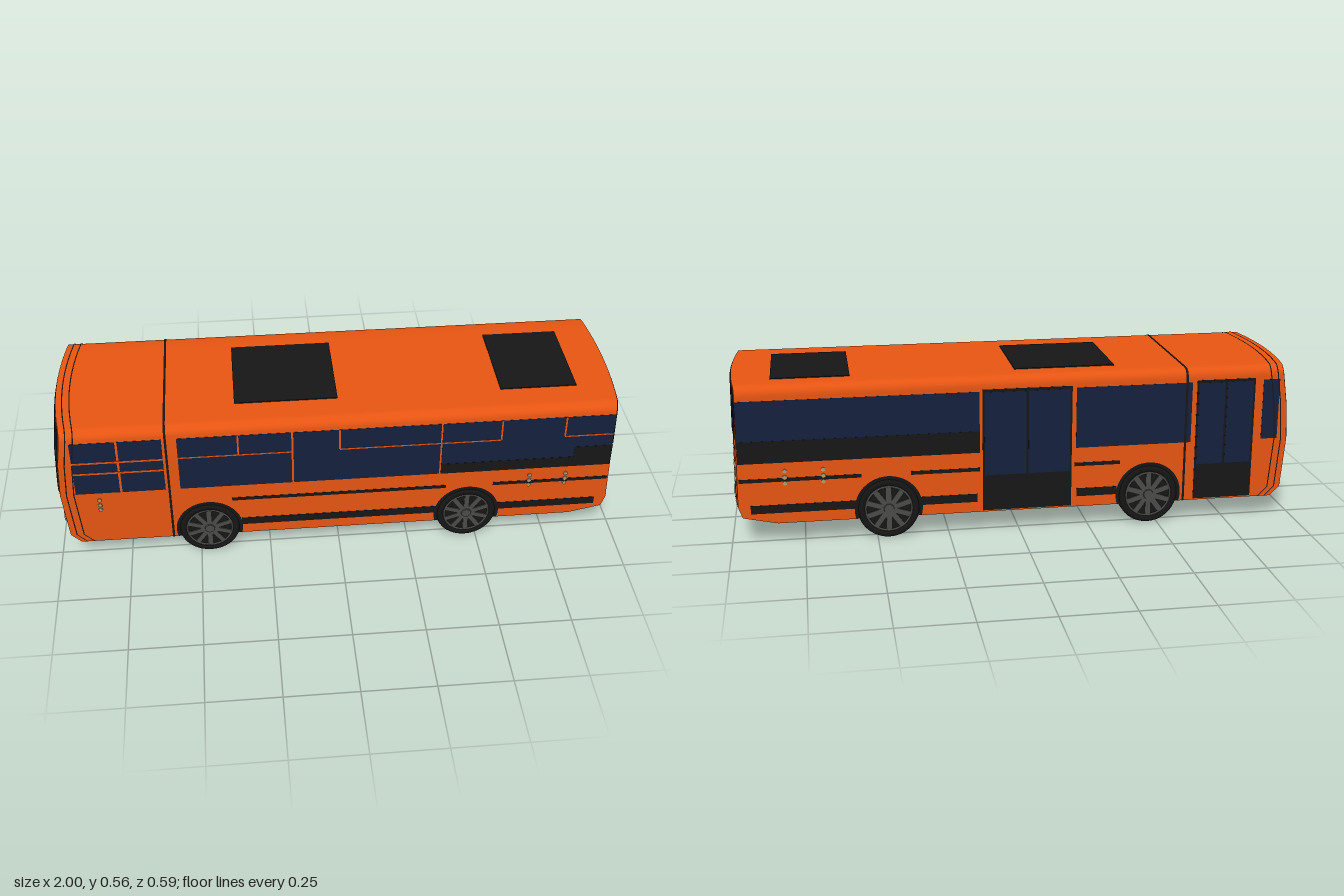
import * as THREE from 'three';
import { ParametricGeometry } from 'three/addons/geometries/ParametricGeometry.js';

const W = 0.283, BOTTOM = 0.075, TOP = 0.56, R = 0.035;
const mat = (color) => new THREE.MeshStandardMaterial({ color, side: THREE.DoubleSide });
const orange = mat(0xe65512), blue = mat(0x14213d), black = mat(0x161616);
const rim = mat(0x4a4a48), lamp = mat(0xb89868), plate = mat(0xa0a0a0);

// Piecewise linear reading of [key, value] pairs
function table(rows, t) {
  for (let i = 1; i < rows.length; i++) {
    const [a, va] = rows[i - 1], [b, vb] = rows[i];
    if (t <= b || i === rows.length - 1) return va + (vb - va) * (t - a) / (b - a);
  }
}
function along(list, u) {
  const f = Math.min(Math.max(u, 0), 1) * (list.length - 1), i = Math.min(Math.floor(f), list.length - 2);
  return list[i] + (list[i + 1] - list[i]) * (f - i);
}

// Bowed end faces: x as a function of height and width
const noseProfile = [[0.075, -0.95], [0.11, -0.985], [0.29, -1], [0.42, -0.992], [0.56, -0.972]];
const tailProfile = [[0.075, 0.86], [0.1, 0.978], [0.14, 0.992], [0.3, 0.988], [0.56, 0.982]];
const nose = (y, z) => table(noseProfile, y) + 0.028 * (z / W) ** 2;
const tail = (y, z) => table(tailProfile, y) - 0.02 * (z / W) ** 2;
const halfWidth = (y) => y < TOP - R ? W : W - R + Math.sqrt(Math.max(0, R * R - (y - TOP + R) ** 2));

// Rows up one side, shared by the skin and the end faces
const rows = [0.075, 0.1, 0.11, 0.14, 0.29, 0.42, TOP - R];
for (let i = 1; i <= 6; i++) rows.push(TOP - R + R * Math.sin(i * Math.PI / 12));
const pathY = [...rows], pathZ = rows.map((y) => -halfWidth(y));
for (let i = 1; i < 12; i++) { pathY.push(TOP); pathZ.push((W - R) * (i / 6 - 1)); }
for (const y of [...rows].reverse()) { pathY.push(y); pathZ.push(halfWidth(y)); }

export function createModel() {
  const bus = new THREE.Group();
  const add = (name, geometry, material, parent = bus) => {
    const mesh = new THREE.Mesh(geometry, material);
    mesh.name = name;
    parent.add(mesh);
    return mesh;
  };

  // Ribbon over both sides and the roof, between two x functions
  const ribbon = (name, x0, x1, lift, material) => add(name, new ParametricGeometry((u, v, p) => {
    const y = along(pathY, u), z = along(pathZ, u);
    p.set(THREE.MathUtils.lerp(x0(y, z), x1(y, z), v), y + (y > TOP - R ? lift : 0), z * (1 + lift / W));
  }, pathY.length - 1, 1), material);

  ribbon('bodySkin', nose, tail, 0, orange);
  ribbon('roofSeam', () => -0.599, () => -0.591, 0.0015, black);
  for (const d of [0.02, 0.045])
    ribbon('noseSeam', (y, z) => nose(y, z) + d, (y, z) => nose(y, z) + d + 0.004, 0.0015, black);

  // Closed front and rear faces
  for (const s of [-1, 1]) add(s < 0 ? 'frontFace' : 'rearFace', new ParametricGeometry((u, v, p) => {
    const y = along(rows, u), z = s * halfWidth(y) * (2 * v - 1);
    p.set(s < 0 ? nose(y, z) : tail(y, z), y, z);
  }, rows.length - 1, 14), orange);

  // Floor
  add('floor', new ParametricGeometry((u, v, p) => {
    const z = W * (2 * v - 1);
    p.set(THREE.MathUtils.lerp(tail(BOTTOM, z), nose(BOTTOM, z), u), BOTTOM, z);
  }, 1, 14), black);

  // Curved panel on an end face; half width goes from h0 at y0 to h1 at y1
  const endPanel = (name, s, y0, y1, zc, h0, h1, lift, material) =>
    add(name, new ParametricGeometry((u, v, p) => {
      const y = y0 + (y1 - y0) * u;
      const h = Math.min(h0 + (h1 - h0) * u, halfWidth(y) - 0.003);
      const z = zc + s * h * (2 * v - 1);
      p.set((s < 0 ? nose(y, z) : tail(y, z)) + s * lift, y, z);
    }, 16, 12), material);
  const endFrame = (name, s, y0, y1, h, t) => {
    for (const y of [y0, y1]) endPanel(name, s, y - t, y + t, 0, h, h, 0.002, black);
    for (const z of [-h, h]) endPanel(name, s, y0, y1, z, t, t, 0.002, black);
  };
  const disc = (name, x, y, z, r, axis) => {
    const m = add(name, new THREE.CylinderGeometry(r, r, 0.008, 6), lamp);
    if (axis === 'x') m.rotation.z = Math.PI / 2; else m.rotation.x = Math.PI / 2;
    m.position.set(x, y, z);
  };

  // Rear face
  endPanel('rearWindowFrame', 1, 0.38, 0.557, 0, W, W, 0.001, black);
  endPanel('rearWindow', 1, 0.385, 0.553, 0, 0.278, 0.278, 0.003, blue);
  endFrame('engineHatch', 1, 0.16, 0.332, 0.191, 0.0016);
  endFrame('plateRecess', 1, 0.226, 0.276, 0.056, 0.001);
  for (const y of [0.138, 0.148]) endPanel('rearSeam', 1, y, y + 0.0015, 0, W, W, 0.002, black);
  endPanel('rearBumper', 1, 0.0755, 0.099, 0, W, W, 0.002, black);
  endPanel('rearPlateHolder', 1, 0.107, 0.122, 0, 0.058, 0.058, 0.002, black);
  endPanel('rearPlate', 1, 0.11, 0.119, 0, 0.053, 0.053, 0.004, plate);
  for (const s of [-1, 1]) {
    for (const y of [0.227, 0.25, 0.277]) disc('tailLamp', tail(y, 0.228), y, s * 0.228, 0.01, 'x');
    disc('rearReflector', tail(0.11, 0.18), 0.11, s * 0.18, 0.011, 'x');
  }

  // Front face
  endPanel('windscreenFrame', -1, 0.285, 0.555, 0, W, W, 0.001, black);
  endPanel('windscreen', -1, 0.298, 0.54, 0, 0.268, 0.26, 0.003, blue);
  endPanel('grille', -1, 0.195, 0.285, 0, 0.17, 0.25, 0.002, black);
  endPanel('frontPlateHolder', -1, 0.135, 0.16, 0, 0.06, 0.06, 0.002, black);
  endPanel('frontPlate', -1, 0.14, 0.155, 0, 0.053, 0.053, 0.004, plate);
  endPanel('frontSeam', -1, 0.118, 0.12, 0, W, W, 0.002, black);
  for (const s of [-1, 1]) {
    endPanel('headlampRecess', -1, 0.125, 0.185, s * 0.215, 0.035, 0.045, 0.002, black);
    for (const z of [0.2, 0.235]) disc('headlamp', nose(0.155, z) - 0.002, 0.155, s * z, 0.013, 'x');
  }

  // Flat panel on a side; s is the side, layer stacks panels outward
  const sidePanel = (name, s, x0, x1, y0, y1, layer, material) => {
    const m = add(name, new THREE.BoxGeometry(x1 - x0, y1 - y0, 0.002), material);
    m.position.set((x0 + x1) / 2, (y0 + y1) / 2, s * (W + layer * 0.0008));
  };
  const sill = 0.294, head = 0.513;

  // Windows on the driver side
  for (const [a, b] of [[-0.918, -0.765], [-0.757, -0.608], [-0.557, -0.167], [-0.16, 0.352], [0.358, 0.965]])
    sidePanel('sideWindow', 1, a, b, sill, head, 0, blue);
  sidePanel('frontWindowBar', 1, -0.918, -0.608, 0.424, 0.431, 1, orange);
  sidePanel('frontWindowBar', 1, -0.918, -0.608, 0.378, 0.385, 1, orange);
  for (const [a, b] of [[-0.557, -0.167], [0, 0.352], [0.358, 0.565], [0.79, 0.965]])
    sidePanel('sashBar', 1, a, b, 0.427, 0.432, 1, orange);
  for (const x of [-0.35, 0, 0.565, 0.79]) sidePanel('sashPost', 1, x - 0.003, x + 0.003, 0.43, head, 1, orange);
  sidePanel('lowerWindowBand', 1, 0.358, 0.83, sill, 0.337, 1, black);
  sidePanel('lowerWindowBand', 1, 0.83, 0.967, sill, 0.38, 1, black);

  // Windows and doors on the kerb side
  sidePanel('sideWindow', -1, 0.14, 0.965, 0.37, head, 0, blue);
  sidePanel('lowerWindowBand', -1, 0.14, 0.965, sill, 0.372, 1, black);
  sidePanel('sideWindow', -1, -0.615, -0.2, sill, head, 0, blue);
  sidePanel('quarterWindow', -1, -0.935, -0.875, sill, head, 0, blue);
  const door = (x0, x1) => {
    sidePanel('doorFrame', -1, x0, x1, 0.08, 0.52, 0, black);
    const mid = (x0 + x1) / 2;
    for (const [a, b] of [[x0 + 0.007, mid - 0.004], [mid + 0.004, x1 - 0.007]])
      sidePanel('doorGlass', -1, a, b, 0.21, 0.51, 1, blue);
  };
  door(-0.185, 0.13);
  door(-0.845, -0.632);

  // Trim stripes
  const stripes = { 1: [[-0.38, 0.38], [0.55, 0.965]], '-1': [[-0.36, -0.195], [0.14, 0.38], [0.55, 0.965]] };
  for (const s of [1, -1]) for (const [a, b] of stripes[s]) {
    sidePanel('upperStripe', s, a, b, 0.226, 0.239, 0, black);
    sidePanel('lowerStripe', s, Math.max(a, -0.36) + 0.01, Math.min(b, 0.94) - 0.01, 0.113, 0.143, 0, black);
  }

  // Side marker lamps
  for (const s of [1, -1]) for (const x of s > 0 ? [-0.84, 0.68, 0.81] : [0.68, 0.81])
    for (const y of [0.22, 0.241, 0.263]) disc('sideLamp', x, y, s * W, 0.008, 'z');

  // Roof hatches
  for (const [a, b] of [[-0.355, 0.003], [0.575, 0.845]]) {
    const m = add('roofHatch', new THREE.BoxGeometry(b - a, 0.004, 0.345), black);
    m.position.set((a + b) / 2, TOP + 0.001, -0.008);
  }

  // Wheels: tyre, recessed rim, spokes and hub, built facing +z
  const tyrePoints = [[0.02, -0.075], [0.095, -0.075], [0.106, -0.068], [0.108, -0.055], [0.108, -0.014],
    [0.105, -0.004], [0.098, 0], [0.084, -0.002], [0.08, -0.012]].map(([r, h]) => new THREE.Vector2(r, h));
  const tyre = new THREE.LatheGeometry(tyrePoints, 36).rotateX(Math.PI / 2);
  const dish = new THREE.CircleGeometry(0.082, 36);
  const ring = new THREE.TorusGeometry(0.08, 0.004, 6, 36);
  const spoke = new THREE.BoxGeometry(0.018, 0.066, 0.006).translate(0, 0.047, 0);
  const hub = new THREE.CylinderGeometry(0.017, 0.021, 0.012, 16).rotateX(Math.PI / 2);
  for (const x of [-0.465, 0.46]) for (const s of [1, -1]) {
    const wheel = new THREE.Group();
    wheel.name = 'wheel';
    wheel.position.set(x, 0.108, s * 0.289);
    if (s < 0) wheel.rotation.y = Math.PI;
    add('tyre', tyre, black, wheel);
    add('rimDish', dish, black, wheel).position.z = -0.004;
    add('rimRing', ring, rim, wheel).position.z = -0.003;
    add('hub', hub, rim, wheel).position.z = -0.002;
    for (let i = 0; i < 10; i++) {
      const m = add('spoke', spoke, rim, wheel);
      m.position.z = -0.003;
      m.rotation.z = i * Math.PI / 5;
    }
    bus.add(wheel);
    // Dark wheel arch above the floor line
    const a = Math.asin((0.108 - BOTTOM) / 0.118);
    const arch = add('wheelArch', new THREE.RingGeometry(0.09, 0.118, 32, 1, -a, Math.PI + 2 * a), black);
    arch.position.set(x, 0.108, s * (W + 0.0015));
    if (s < 0) arch.rotation.y = Math.PI;
  }
  return bus;
}
